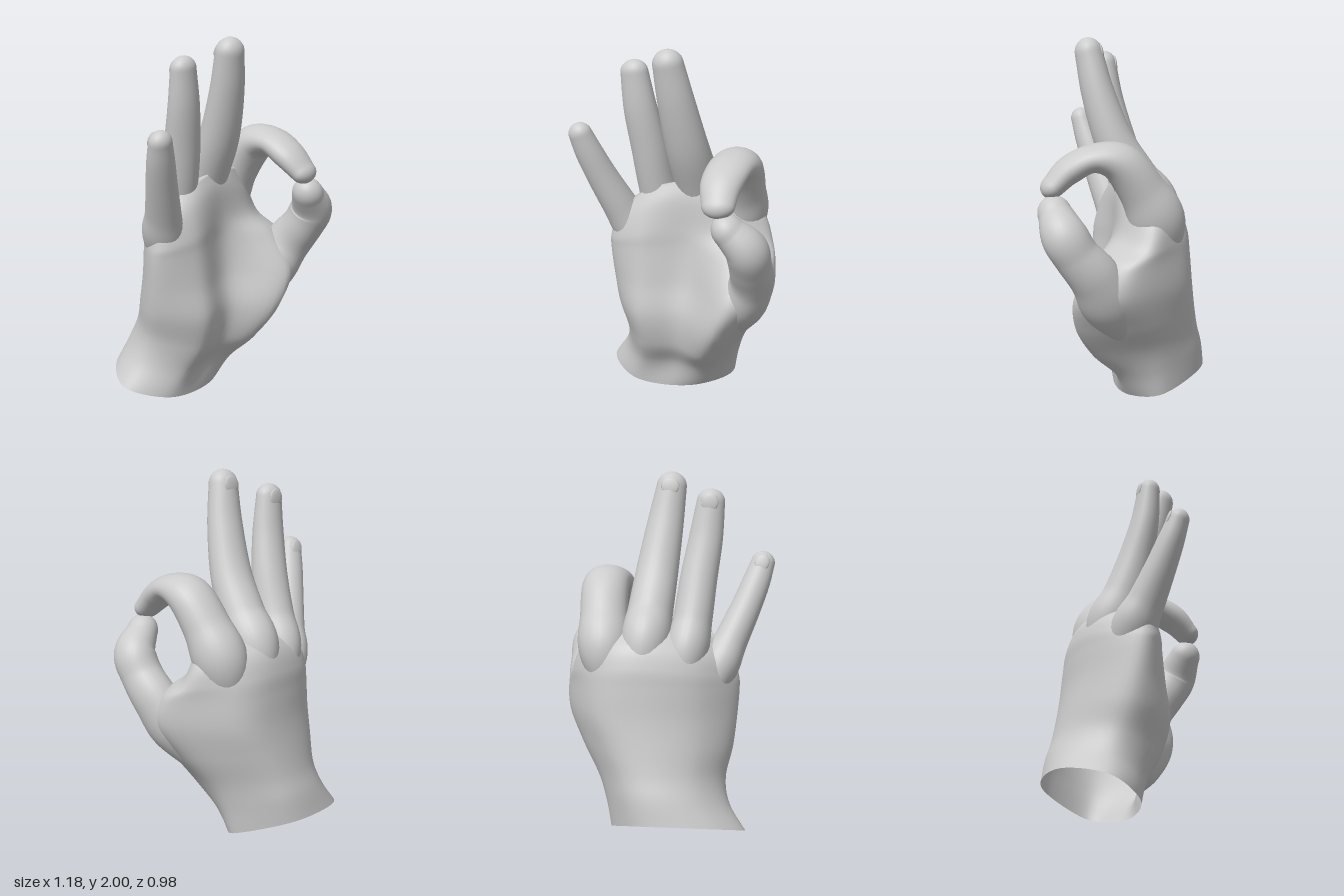
import * as THREE from 'three';

const material = new THREE.MeshStandardMaterial({ color: 0xcccccc, side: THREE.DoubleSide });
const V = (x, y, z) => new THREE.Vector3(x, y, z);
const spline = (pts, closed = false) => new THREE.CatmullRomCurve3(pts, closed, 'catmullrom', 0.5);
const average = (pts) => pts.reduce((s, p) => s.add(p), V(0, 0, 0)).divideScalar(pts.length);

// Smooth skin over closed rings of points (counter-clockwise around the path), ending in a pole.
function skin(rows, pole, name) {
  const n = rows[0].length, pos = [], index = [];
  for (const row of rows) for (const p of row) pos.push(p.x, p.y, p.z);
  pos.push(pole.x, pole.y, pole.z);
  const last = rows.length - 1;
  for (let i = 0; i <= last; i++) {
    for (let j = 0; j < n; j++) {
      const a = i * n + j, b = i * n + (j + 1) % n;
      if (i < last) index.push(a, b, b + n, a, b + n, a + n);
      else index.push(a, b, rows.length * n);
    }
  }
  const geo = new THREE.BufferGeometry();
  geo.setAttribute('position', new THREE.Float32BufferAttribute(pos, 3));
  geo.setIndex(index);
  geo.computeVertexNormals();
  const mesh = new THREE.Mesh(geo, material);
  mesh.name = name;
  return mesh;
}

// Finger swept along [x, y, z, half width, half depth] stations, with a rounded tip.
// The first station is slim and lies inside the palm so the knuckle emerges gradually.
function finger(name, stations, nail) {
  const path = spline(stations.map((s) => V(s[0], s[1], s[2])));
  const size = spline(stations.map((s) => V(s[3], s[4], 0)));
  const group = new THREE.Group();
  group.name = name;
  const frame = (t) => {
    const T = path.getTangent(t);
    const W = V(1, 0, 0).addScaledVector(T, -T.x).normalize();
    return { c: path.getPoint(t), T, W, D: T.clone().cross(W), r: size.getPoint(t) };
  };
  const ring = (f, shift, k) => Array.from({ length: 28 }, (_, j) => {
    const a = j / 28 * Math.PI * 2;
    return f.c.clone().addScaledVector(f.T, shift)
      .addScaledVector(f.W, Math.cos(a) * f.r.x * k)
      .addScaledVector(f.D, Math.sin(a) * f.r.y * k);
  });
  const rows = [];
  for (let i = 0; i <= 48; i++) rows.push(ring(frame(i / 48), 0, 1));
  const end = frame(1), reach = end.r.y * 1.1;
  for (let i = 1; i < 8; i++) {
    const a = i / 8 * Math.PI / 2;
    rows.push(ring(end, Math.sin(a) * reach, Math.cos(a)));
  }
  group.add(skin(rows, end.c.clone().addScaledVector(end.T, reach), name + 'Skin'));

  // Almost flush nail on the back of the tip
  if (nail) {
    const plate = new THREE.Mesh(new THREE.SphereGeometry(1, 20, 12), material);
    plate.name = name + 'Nail';
    plate.quaternion.setFromRotationMatrix(
      new THREE.Matrix4().makeBasis(end.W.clone().negate(), end.T, end.D));
    plate.scale.set(end.r.x * 0.6, 0.05, 0.012);
    plate.position.copy(end.c).addScaledVector(end.T, -0.01).addScaledVector(end.D, end.r.y * 0.88);
    group.add(plate);
  }
  return group;
}

// Palm sections: y, slope in z, knuckle arch, left x/z, right x/z, back z, front z (outer heel, hollow, thumb side)
const palmRings = [
  [0.00, 0.33, 0, -0.47, -0.22, 0.27, -0.20, -0.49, -0.04, 0.00, -0.05],
  [0.16, 0.28, 0, -0.38, -0.18, 0.30, -0.17, -0.465, 0.02, 0.02, 0.03],
  [0.32, 0.20, 0, -0.355, -0.13, 0.35, -0.12, -0.43, 0.10, 0.10, 0.17],
  [0.50, 0.12, 0, -0.39, -0.08, 0.45, -0.03, -0.40, 0.15, 0.13, 0.28],
  [0.68, 0.06, 0, -0.41, -0.05, 0.54, 0.06, -0.375, 0.13, 0.09, 0.30],
  [0.83, 0, 0.03, -0.42, -0.03, 0.54, 0.02, -0.36, 0.11, 0.06, 0.18],
  [0.90, 0, 0.08, -0.415, -0.02, 0.50, -0.08, -0.345, 0.10, 0.05, 0.06],
  [0.98, -0.15, 0.16, -0.385, -0.02, 0.455, -0.12, -0.295, 0.06, 0.04, 0.02],
  [1.05, -0.40, 0.20, -0.28, -0.04, 0.38, -0.11, -0.18, 0.01, 0.01, 0.00],
];

function palm() {
  const mix = THREE.MathUtils.lerp;
  const controls = palmRings.map(([y, k, arch, xl, zl, xr, zr, zb, fl, fm, fr]) => {
    const c = (xl + xr) / 2, w = xr - xl;
    return [
      [c, fm], [c + 0.3 * w, fr], [xr, zr], [c + 0.3 * w, mix(zr, zb, 0.82)],
      [c + 0.03 * w, zb], [c - 0.3 * w, mix(zl, zb, 0.74)], [xl, zl], [c - 0.3 * w, fl],
    ].map(([x, z]) => V(x, y - k * z + arch * (1 - ((x - 0.1) / 0.5) ** 2), z));
  });
  const columns = controls[0].map((_, j) => spline(controls.map((row) => row[j])));
  const rows = [];
  for (let i = 0; i <= 64; i++) {
    const loop = spline(columns.map((col) => col.getPoint(i / 64)), true);
    rows.push(Array.from({ length: 64 }, (_, j) => loop.getPoint(j / 64)));
  }
  // Open at the wrist, domed between the knuckles
  const top = average(rows[64]).add(V(0, 0.03, 0));
  for (const t of [0.3, 0.6]) {
    rows.push(rows[64].map((p) => p.clone().lerp(top, t).add(V(0, 0.02 * t, 0))));
  }
  return skin(rows, top.clone().add(V(0, 0.02, 0)), 'palm');
}

export function createModel() {
  const hand = new THREE.Group();
  hand.name = 'hand';
  hand.add(
    palm(),
    finger('littleFinger', [
      [-0.20, 0.68, -0.13, 0.05, 0.05], [-0.30, 0.93, -0.07, 0.105, 0.12],
      [-0.365, 1.08, -0.01, 0.094, 0.102], [-0.44, 1.25, 0.05, 0.084, 0.085],
      [-0.495, 1.39, 0.095, 0.077, 0.073], [-0.532, 1.50, 0.127, 0.066, 0.06],
    ], true),
    finger('ringFinger', [
      [-0.09, 0.75, -0.21, 0.05, 0.05], [-0.135, 1.02, -0.15, 0.115, 0.14],
      [-0.165, 1.21, -0.085, 0.107, 0.118], [-0.19, 1.42, -0.03, 0.102, 0.098],
      [-0.225, 1.64, 0.015, 0.093, 0.08], [-0.25, 1.84, 0.035, 0.077, 0.063],
    ], true),
    finger('middleFinger', [
      [0.10, 0.78, -0.25, 0.05, 0.05], [0.085, 1.07, -0.175, 0.13, 0.15],
      [0.068, 1.25, -0.07, 0.124, 0.128], [0.045, 1.45, 0.035, 0.117, 0.108],
      [0.01, 1.70, 0.115, 0.102, 0.09], [-0.022, 1.915, 0.16, 0.084, 0.075],
    ], true),
    // Index curls forward to meet the thumb
    finger('indexFinger', [
      [0.25, 0.74, -0.18, 0.05, 0.05], [0.305, 1.03, -0.155, 0.14, 0.15],
      [0.325, 1.22, -0.065, 0.132, 0.125], [0.335, 1.365, 0.05, 0.13, 0.108],
      [0.325, 1.395, 0.19, 0.12, 0.075], [0.31, 1.335, 0.315, 0.11, 0.074],
      [0.32, 1.252, 0.405, 0.088, 0.06],
    ], false),
    finger('thumb', [
      [0.28, 0.38, -0.02, 0.05, 0.05], [0.385, 0.62, 0.11, 0.13, 0.15],
      [0.455, 0.79, 0.205, 0.118, 0.135], [0.468, 0.91, 0.30, 0.113, 0.12],
      [0.46, 1.02, 0.365, 0.112, 0.12], [0.375, 1.12, 0.40, 0.085, 0.09],
    ], false),
  );
  return hand;
}
